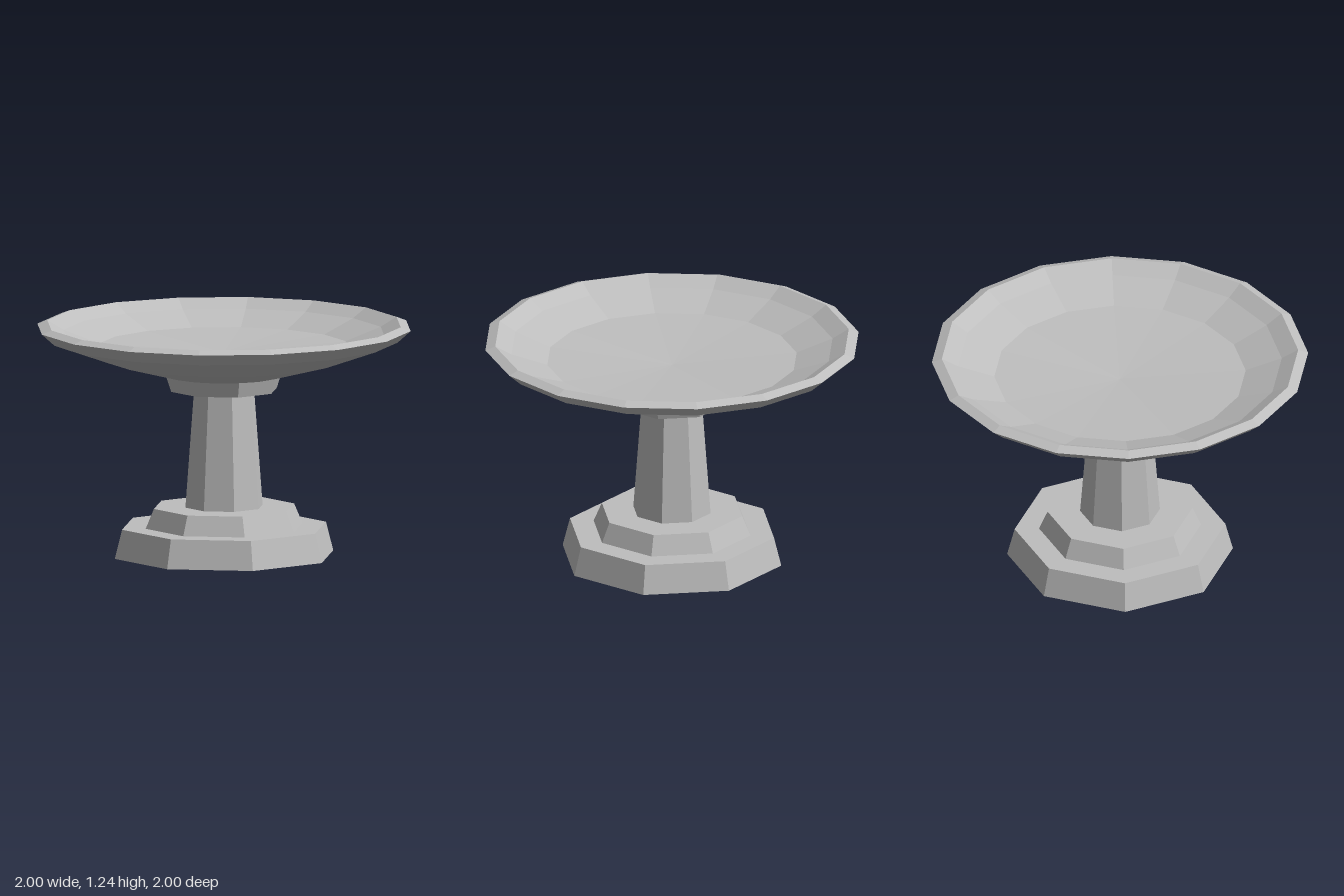
import * as THREE from 'three';

export function createModel() {
  const group = new THREE.Group();
  const stone = new THREE.MeshStandardMaterial({ color: 0xbebebe, flatShading: true });
  stone.name = 'pale grey stone';

  function add(name, geometry, y = 0) {
    const mesh = new THREE.Mesh(geometry, stone);
    mesh.name = name;
    mesh.position.y = y;
    group.add(mesh);
  }

  // Octagonal pedestal: name, bottom radius, top radius, bottom y, top y
  const tiers = [
    ['lowerPlinth', 0.6, 0.56, 0, 0.155],
    ['upperPlinth', 0.43, 0.385, 0.155, 0.26],
    ['column', 0.212, 0.165, 0.26, 0.885],
    ['collar', 0.29, 0.32, 0.885, 0.975],
  ];
  for (const [name, rBottom, rTop, y0, y1] of tiers) {
    add(name, new THREE.CylinderGeometry(rTop, rBottom, y1 - y0, 8), (y0 + y1) / 2);
  }

  // Sixteen-sided basin: underside, rim, then the hollow back to the centre
  const profile = [
    [0, 0.96], [0.31, 0.965], [0.63, 1.05], [0.93, 1.157], [1, 1.22],
    [0.947, 1.24], [0.86, 1.19], [0.668, 1.12], [0, 1.085],
  ].map(([r, y]) => new THREE.Vector2(r, y));
  add('basin', new THREE.LatheGeometry(profile, 16));

  return group;
}
